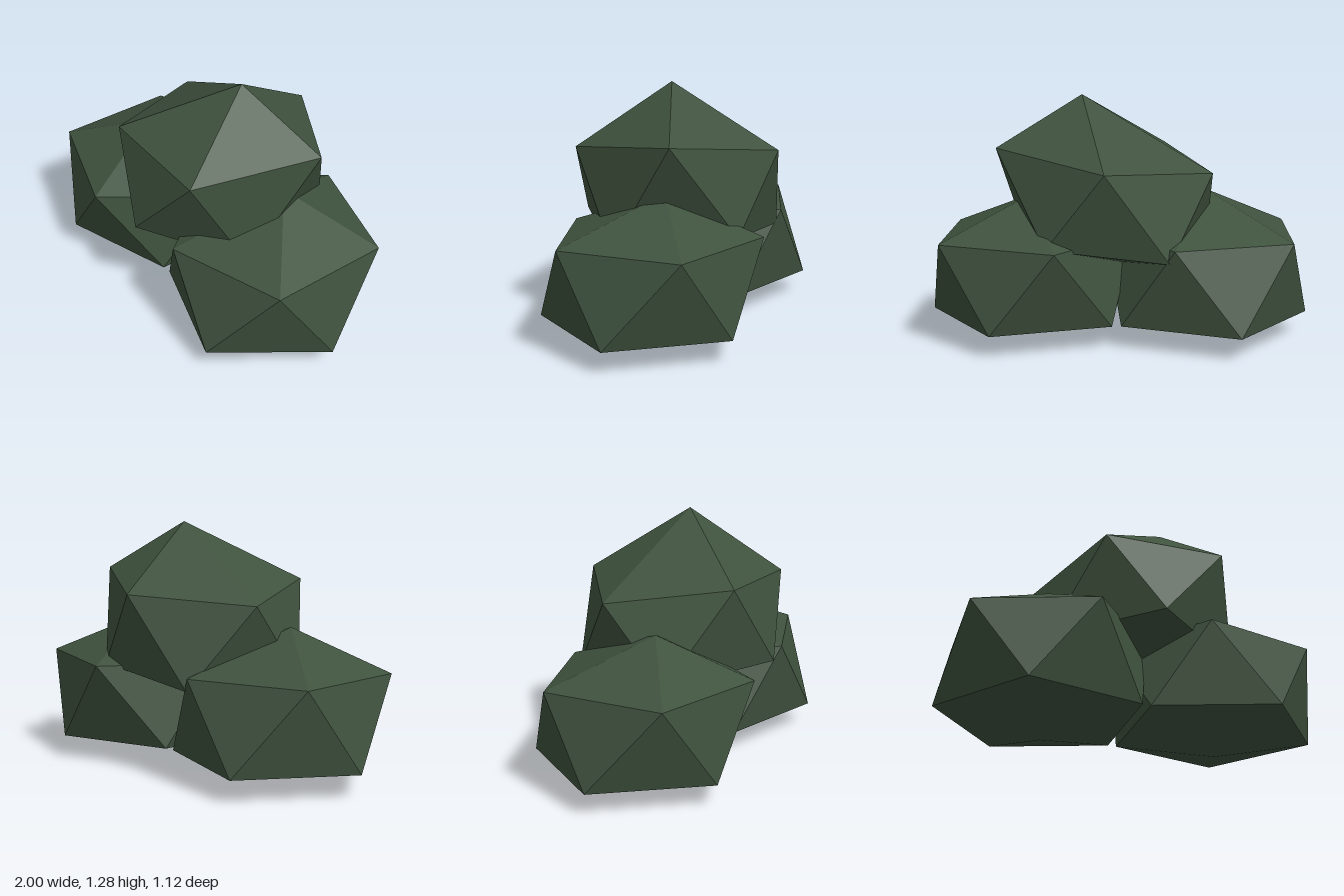
import * as THREE from 'three';

const material = new THREE.MeshStandardMaterial({ color: 0x3f523e, flatShading: true, roughness: 1 });

// Twenty-sided boulder: a top point, two staggered five-point rings and a bottom point
function boulder(name, top, upper, lower, bottom) {
  const points = [];
  for (let i = 0; i < 5; i++) {
    const j = (i + 1) % 5;
    points.push(
      top, upper[j], upper[i],
      upper[i], upper[j], lower[i],
      upper[j], lower[j], lower[i],
      bottom, lower[i], lower[j]
    );
  }
  const geometry = new THREE.BufferGeometry();
  geometry.setAttribute('position', new THREE.Float32BufferAttribute(points.flat(), 3));
  geometry.computeVertexNormals();
  const mesh = new THREE.Mesh(geometry, material);
  mesh.name = name;
  return mesh;
}

// Level ring of five points
function ring(radius, x, y, z, startDegrees) {
  return Array.from({ length: 5 }, (_, i) => {
    const a = THREE.MathUtils.degToRad(startDegrees + 72 * i);
    return [x + radius * Math.cos(a), y, z + radius * Math.sin(a)];
  });
}

export function createModel() {
  const group = new THREE.Group();
  group.name = 'rockPile';

  // Two base boulders, leaning slightly; the right one is the left one turned half round
  ['leftBoulder', 'rightBoulder'].forEach((name, i) => {
    const rock = boulder(
      name,
      [0.46, 0.765, -0.1],
      ring(0.54, 0.46, 0.55, -0.045, 36),
      ring(0.54, 0.46, 0.12, -0.003, 72),
      [0.46, 0, 0]
    );
    rock.rotation.y = i * Math.PI;
    group.add(rock);
  });

  // Tilted boulder resting on the pair
  group.add(boulder(
    'topBoulder',
    [0.19, 1.28, -0.03],
    [[0.38, 0.95, 0.42], [-0.24, 0.975, 0.42], [-0.485, 0.895, -0.18], [0.05, 0.94, -0.55], [0.62, 1.02, -0.19]],
    [[0.04, 0.55, 0.525], [-0.47, 0.5, 0.15], [-0.27, 0.48, -0.45], [0.35, 0.545, -0.445], [0.51, 0.465, 0.167]],
    [0, 0.38, 0]
  ));

  return group;
}
